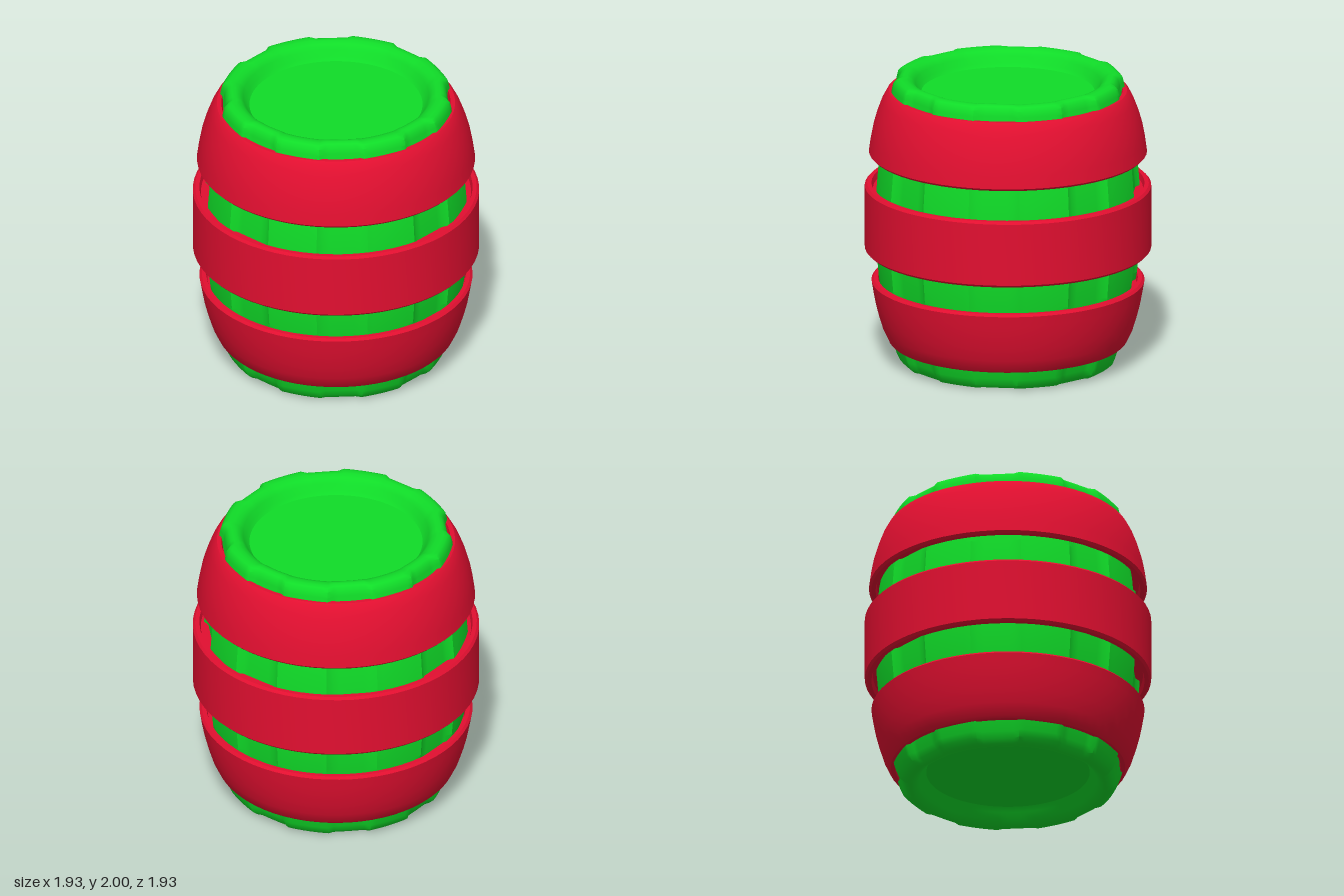
import * as THREE from 'three';
import { toCreasedNormals } from 'three/addons/utils/BufferGeometryUtils.js';

const green = new THREE.MeshStandardMaterial({ color: 0x10dc28 });
const red = new THREE.MeshStandardMaterial({ color: 0xe20f30 });

const lathe = (points, segments) =>
  new THREE.LatheGeometry(points.map(([r, y]) => new THREE.Vector2(r, y)), segments);

function addMesh(group, name, geometry, material, crease) {
  const mesh = new THREE.Mesh(toCreasedNormals(geometry, crease), material);
  mesh.name = name;
  group.add(mesh);
}

// Barrel body: a lathe whose staves alternate between raised and recessed
function bodyGeometry() {
  const profile = [ // radius, height, stave relief (0 = round, 1 = full)
    [0, 0.11, 0], [0.55, 0.11, 0], [0.575, 0.08, 0], [0.6, 0.04, 0], [0.635, 0.01, 0.2],
    [0.67, 0, 0.5], [0.705, 0.008, 0.8], [0.735, 0.035, 1], [0.755, 0.08, 1], [0.785, 0.18, 1],
    [0.835, 0.4, 1], [0.872, 0.6, 1], [0.89, 0.8, 1], [0.896, 1, 1], [0.89, 1.22, 1],
    [0.872, 1.44, 1], [0.835, 1.65, 1], [0.8, 1.82, 1], [0.785, 1.93, 1], [0.775, 1.97, 1],
    [0.755, 1.992, 1], [0.73, 2, 0.9], [0.69, 1.998, 0.5], [0.655, 1.985, 0.2],
    [0.625, 1.955, 0], [0.605, 1.915, 0], [0.583, 1.89, 0], [0, 1.89, 0],
  ];
  const perStave = 8;
  const geometry = lathe(profile, 16 * perStave);
  const pos = geometry.attributes.position;
  for (let i = 0; i < pos.count; i++) {
    const relief = profile[i % profile.length][2];
    const k = Math.floor(i / profile.length) % (2 * perStave);
    const recessed = k > 0 && k < perStave;
    const t = (k % perStave) / perStave * 2 - 1; // -1..1 across a stave
    const flat = (1 - t * t) * (recessed ? 0.017 : 0.008);
    const scale = 1 - relief * (flat + (recessed ? 0.028 : 0));
    pos.setX(i, pos.getX(i) * scale);
    pos.setZ(i, pos.getZ(i) * scale);
  }
  return geometry;
}

// Hoop: bevelled lips at both ends, sunk back to the staves on the inside
function hoopGeometry(outer) {
  const [r0, y0] = outer[0];
  const [r1, y1] = outer[outer.length - 1];
  const b = 0.016;
  return lathe([
    [r0 - 0.14, y0 + 0.04], [r0 - 0.055, y0 + 0.04], [r0 - 0.045, y0], [r0 - b, y0],
    [r0, y0 + b], ...outer.slice(1, -1), [r1, y1 - b],
    [r1 - b, y1], [r1 - 0.045, y1], [r1 - 0.055, y1 - 0.04], [r1 - 0.14, y1 - 0.04],
  ], 64);
}

export function createModel() {
  const group = new THREE.Group();
  group.name = 'barrel';
  addMesh(group, 'staveBody', bodyGeometry(), green, 0.75);

  const hoops = {
    lowerHoop: [[0.805, 0.145], [0.842, 0.24], [0.87, 0.33], [0.893, 0.42], [0.908, 0.5], [0.92, 0.588]],
    middleHoop: [[0.965, 0.79], [0.965, 1.25]],
    upperHoop: [[0.937, 1.458], [0.925, 1.56], [0.908, 1.65], [0.882, 1.74], [0.848, 1.83], [0.818, 1.902]],
  };
  for (const [name, outer] of Object.entries(hoops)) {
    addMesh(group, name, hoopGeometry(outer), red, 0.5);
  }
  return group;
}
